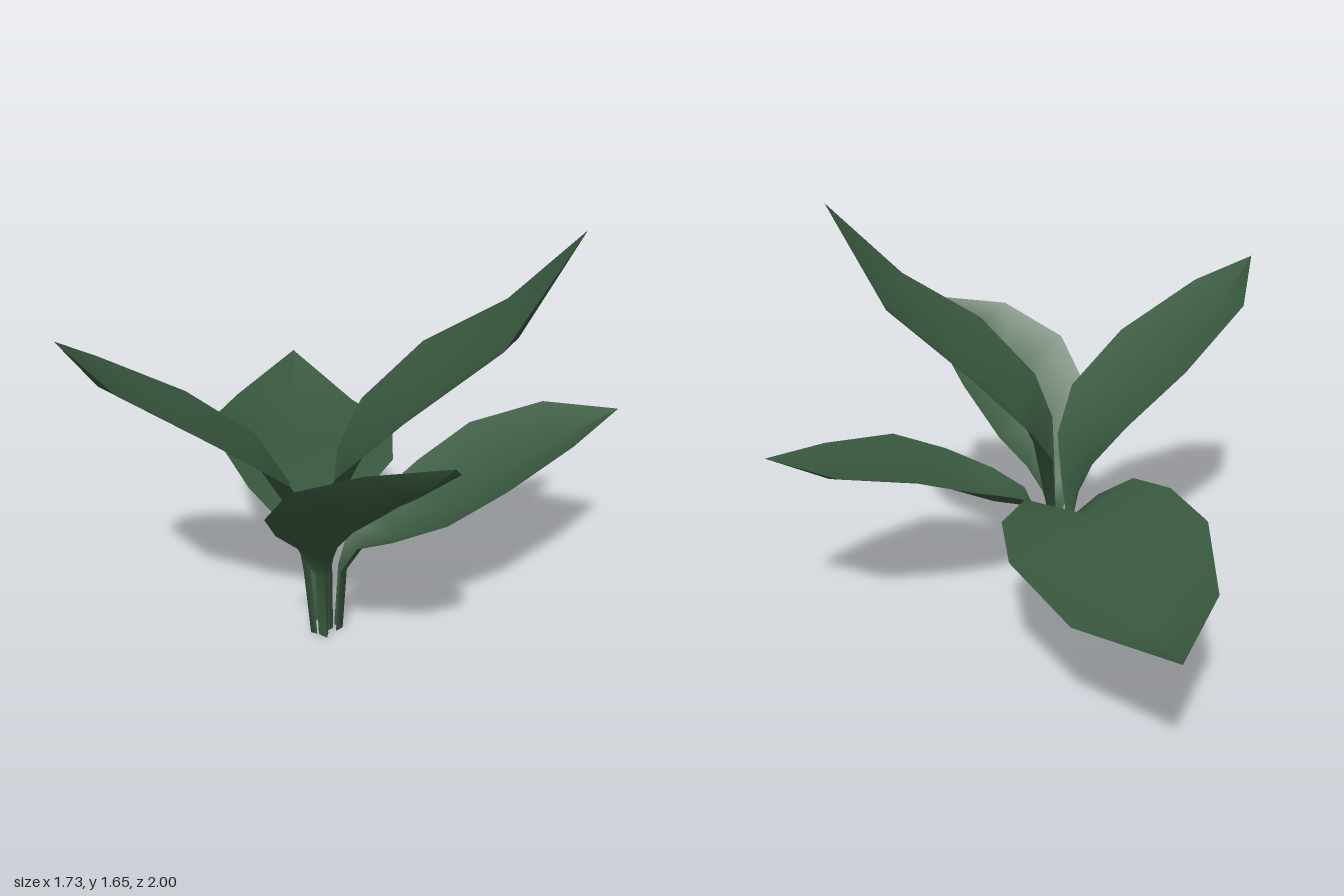
import * as THREE from 'three';

const leafGreen = new THREE.MeshStandardMaterial({ color: 0x3a5a40, side: THREE.DoubleSide });
leafGreen.name = 'leafGreen';

// Shared outline from stem foot to leaf tip: relative width, and depth of the midrib fold
const widths = [0.08, 0.1, 0.32, 0.62, 0.93, 1.03, 0.72, 0];
const folds = [0.03, 0.03, 0.06, 0.09, 0.09, 0.1, 0.075, 0];
const rootCentre = new THREE.Vector3(-0.03, 0.008, 0.32);

// A folded leaf with its stem; span runs from the left edge to the right edge,
// spine runs from the top of the stem to the tip, and fold scales the midrib depth
function buildLeaf(name, span, fold, spine) {
  const across = new THREE.Vector3(...span);
  const centres = spine.map((p) => new THREE.Vector3(...p));
  // The stem foot is drawn in towards the middle of the plant
  const foot = centres[0].clone().lerp(rootCentre, 0.35).setY(rootCentre.y);
  centres.unshift(foot);
  const last = centres.length - 1;

  const points = centres.flatMap((centre, i) => {
    const along = centres[Math.min(i + 1, last)].clone().sub(centres[Math.max(i - 1, 0)]);
    const up = across.clone().cross(along).normalize();
    return [
      centre.clone().addScaledVector(across, -widths[i] / 2),
      centre.clone().addScaledVector(up, -folds[i] * fold),
      centre.clone().addScaledVector(across, widths[i] / 2),
    ];
  });

  const index = [];
  for (let row = 0; row < last; row++) {
    for (let half = 0; half < 2; half++) {
      const a = row * 3 + half;
      index.push(a, a + 1, a + 4);
      if (row < last - 1) index.push(a, a + 4, a + 3);
    }
  }

  const geometry = new THREE.BufferGeometry().setFromPoints(points);
  geometry.setIndex(index);
  geometry.computeVertexNormals();
  const mesh = new THREE.Mesh(geometry, leafGreen);
  mesh.name = name;
  return mesh;
}

export function createModel() {
  const plant = new THREE.Group();
  plant.name = 'plant';
  plant.add(
    buildLeaf('lowBackRightLeaf', [0.62, -0.08, -0.38], 1.15, [
      [-0.085, 0.28, 0.3], [-0.11, 0.43, 0.27], [-0.17, 0.525, 0.19], [-0.26, 0.56, -0.015],
      [-0.43, 0.57, -0.305], [-0.645, 0.5, -0.625], [-0.85, 0.56, -1],
    ]),
    buildLeaf('lowBackLeftLeaf', [0.31, -0.02, 0.45], 1, [
      [0.02, 0.28, 0.3], [0.07, 0.42, 0.28], [0.17, 0.49, 0.22], [0.315, 0.58, 0.095],
      [0.47, 0.685, -0.08], [0.665, 0.75, -0.335], [0.865, 0.79, -0.48],
    ]),
    buildLeaf('frontRightLeaf', [-0.36, -0.02, -0.38], 0.65, [
      [-0.07, 0.29, 0.38], [-0.07, 0.45, 0.385], [-0.085, 0.605, 0.4], [-0.165, 0.785, 0.465],
      [-0.345, 0.99, 0.64], [-0.57, 1.2, 0.86], [-0.68, 1.34, 0.97],
    ]),
    buildLeaf('tallLeftLeaf', [0.22, 0, 0.7], 0.9, [
      [-0.03, 0.3, 0.32], [-0.025, 0.48, 0.315], [-0.015, 0.68, 0.31], [0.055, 0.84, 0.275],
      [0.28, 1.08, 0.21], [0.58, 1.305, 0.115], [0.825, 1.65, 0.04],
    ]),
    buildLeaf('frontLeftLeaf', [-0.3, 0.12, 0.41], 1, [
      [-0.015, 0.29, 0.385], [-0.005, 0.43, 0.425], [0.025, 0.54, 0.505], [0.11, 0.67, 0.585],
      [0.285, 0.86, 0.685], [0.51, 1.005, 0.76], [0.665, 1.08, 0.8],
    ]),
  );
  return plant;
}
